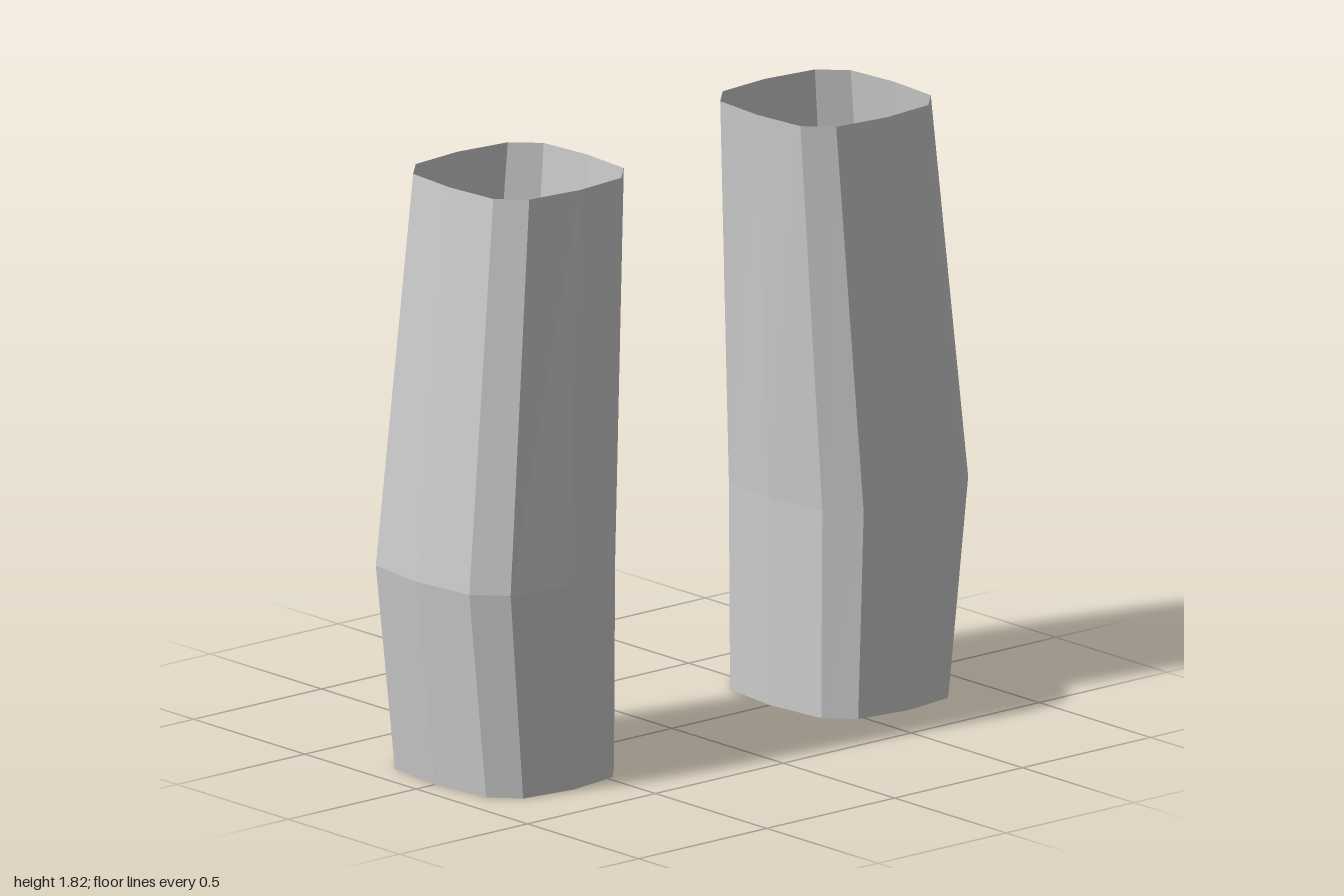
import * as THREE from 'three';

// Sections from bottom to top: height, centre x, then half extents
// in x and z at the side middle, the outer corner and the inner corner
const SECTIONS = [
  { y: 0, cx: 0.655, x: [0.272, 0.25, 0.175], z: [0.31, 0.285, 0.205] },
  { y: 0.635, cx: 0.69, x: [0.31, 0.285, 0.2], z: [0.325, 0.298, 0.21] },
  { y: 1.82, cx: 0.6, x: [0.27, 0.255, 0.18], z: [0.275, 0.255, 0.18] },
];
const SIDES = 12;

// Twelve-sided rounded square, the same in all four quadrants
function ring({ y, cx, x, z }, side) {
  const outline = [
    [x[0], 0], [x[1], z[2]], [x[2], z[1]],
    [0, z[0]], [-x[2], z[1]], [-x[1], z[2]],
  ];
  const half = outline.map(([px, pz]) => [-px, -pz]);
  return [...outline, ...half].map(([px, pz]) => [side * cx + px, y, pz]);
}

function flatGeometry(triangles) {
  const geometry = new THREE.BufferGeometry();
  geometry.setAttribute('position', new THREE.Float32BufferAttribute(triangles.flat(), 3));
  geometry.computeVertexNormals();
  return geometry;
}

function createLeg(side, name, material) {
  const leg = new THREE.Group();
  leg.name = name;
  const rings = SECTIONS.map((s) => ring(s, side));

  // Thin wall, open at the top
  const wall = [];
  for (let r = 0; r < rings.length - 1; r++) {
    for (let i = 0; i < SIDES; i++) {
      const j = (i + 1) % SIDES;
      const a = rings[r][i], b = rings[r][j], c = rings[r + 1][j], d = rings[r + 1][i];
      wall.push(a, d, b, b, d, c);
    }
  }
  const wallMesh = new THREE.Mesh(flatGeometry(wall), material);
  wallMesh.name = 'legWall';

  // Closed bottom
  const base = [];
  for (let i = 1; i < SIDES - 1; i++) base.push(rings[0][0], rings[0][i], rings[0][i + 1]);
  const baseMesh = new THREE.Mesh(flatGeometry(base), material);
  baseMesh.name = 'legBottom';

  leg.add(wallMesh, baseMesh);
  return leg;
}

export function createModel() {
  const material = new THREE.MeshStandardMaterial({
    color: 0xcccccc, flatShading: true, side: THREE.DoubleSide,
  });
  const model = new THREE.Group();
  model.name = 'legPair';
  model.add(createLeg(1, 'leftLeg', material), createLeg(-1, 'rightLeg', material));
  return model;
}
